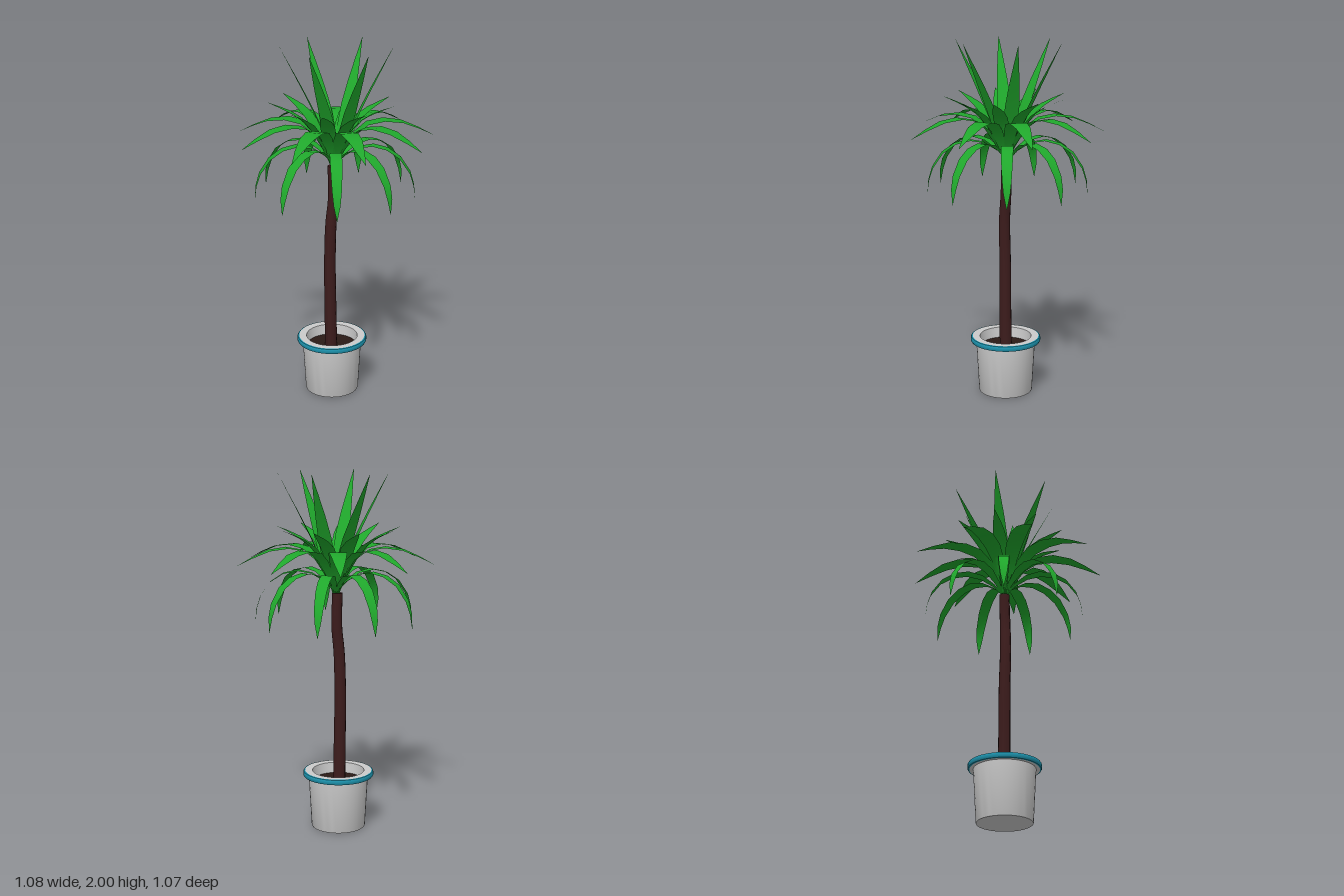
import * as THREE from 'three';
import { toCreasedNormals } from 'three/addons/utils/BufferGeometryUtils.js';

const mat = (color, side = THREE.FrontSide) => new THREE.MeshStandardMaterial({ color, side });
const grey = mat(0xcccccc);
const blue = mat(0x1c90aa);
const bark = mat(0x3c1c1c);
const earth = mat(0x2a1a16);
const green = mat(0x20a82c, THREE.DoubleSide);

function add(parent, name, geometry, material) {
  const mesh = new THREE.Mesh(geometry, material);
  mesh.name = name;
  parent.add(mesh);
  return mesh;
}

function lathe(profile) {
  const points = profile.map(([r, y]) => new THREE.Vector2(r, y));
  return toCreasedNormals(new THREE.LatheGeometry(points, 40), 0.6);
}

// A flat ribbon leaf growing along +x; each row is [reach, height, width]
function leafGeometry(rows) {
  const positions = [];
  const index = [];
  rows.forEach(([r, y, w], i) => {
    positions.push(r, y, -w / 2, r, y, w / 2);
    if (i > 0) {
      const a = 2 * i - 2;
      index.push(a, a + 1, a + 2, a + 1, a + 3, a + 2);
    }
  });
  const geometry = new THREE.BufferGeometry();
  geometry.setAttribute('position', new THREE.Float32BufferAttribute(positions, 3));
  geometry.setIndex(index);
  geometry.computeVertexNormals();
  return geometry;
}

// Leaf whorls, from the drooping bottom one to the upright crown
const whorls = [
  {
    name: 'droopingLeaf', count: 9, start: 20.5, x: -0.015, z: -0.015,
    rows: [[0, 1.34, 0.015], [0.06, 1.405, 0.035], [0.13, 1.45, 0.055], [0.21, 1.465, 0.065],
      [0.29, 1.447, 0.065], [0.36, 1.4, 0.06], [0.415, 1.32, 0.05], [0.437, 1.25, 0.035], [0.445, 1.17, 0.002]],
  },
  {
    name: 'archingLeaf', count: 9, start: 5.5, x: -0.01, z: -0.005,
    rows: [[0, 1.34, 0.015], [0.05, 1.43, 0.045], [0.11, 1.525, 0.075], [0.18, 1.578, 0.093],
      [0.27, 1.595, 0.095], [0.37, 1.582, 0.078], [0.46, 1.545, 0.045], [0.548, 1.5, 0.001]],
  },
  {
    name: 'spreadingLeaf', count: 9, start: 30, x: -0.025, z: 0,
    rows: [[0, 1.34, 0.015], [0.045, 1.44, 0.05], [0.1, 1.535, 0.077], [0.16, 1.605, 0.08],
      [0.22, 1.645, 0.064], [0.28, 1.673, 0.037], [0.345, 1.7, 0.001]],
  },
  {
    name: 'uprightLeaf', count: 6, start: 30, x: -0.005, z: -0.02,
    rows: [[0, 1.34, 0.015], [0.04, 1.45, 0.05], [0.085, 1.56, 0.077], [0.13, 1.66, 0.078],
      [0.19, 1.78, 0.058], [0.245, 1.885, 0.032], [0.305, 2, 0.001]],
  },
];

// Round trunk with a gentle bend and taper; each row is [x, y, z, radius]
function trunkGeometry(rows, sides = 12, steps = 24) {
  const curve = new THREE.CatmullRomCurve3(rows.map(([x, y, z]) => new THREE.Vector3(x, y, z)));
  const yBottom = rows[0][1];
  const height = rows[rows.length - 1][1] - yBottom;
  const geometry = new THREE.CylinderGeometry(1, 1, 1, sides, steps);
  const p = geometry.attributes.position;
  for (let i = 0; i < p.count; i++) {
    const t = p.getY(i) + 0.5;
    const c = curve.getPoint(t);
    const radius = 0.029 + 0.006 * (1 - t);
    p.setXYZ(i, c.x + p.getX(i) * radius, yBottom + (c.y - yBottom) / height * height, c.z + p.getZ(i) * radius);
  }
  geometry.computeVertexNormals();
  return geometry;
}

export function createModel() {
  const model = new THREE.Group();
  model.name = 'pottedPalm';

  // Pot with a thick, overhanging lip
  const pot = new THREE.Group();
  pot.name = 'pot';
  pot.position.x = -0.025;
  model.add(pot);
  add(pot, 'potBody', lathe([
    [0, 0], [0.15, 0], [0.152, 0.005], [0.168, 0.295], [0.19, 0.295], [0.19, 0.325],
    [0.146, 0.325], [0.14, 0.25], [0, 0.25],
  ]), grey);
  add(pot, 'rimBand', lathe([
    [0.188, 0.294], [0.195, 0.296], [0.199, 0.303], [0.199, 0.317], [0.195, 0.324], [0.188, 0.326],
  ]), blue);
  const soil = add(pot, 'soil', new THREE.CircleGeometry(0.141, 40), earth);
  soil.rotation.x = -Math.PI / 2;
  soil.position.y = 0.265;

  // Trunk
  add(model, 'trunk', trunkGeometry([
    [-0.03, 0.24, 0], [-0.032, 0.5, 0.004], [-0.034, 0.77, 0.006],
    [-0.027, 1.0, 0.007], [-0.017, 1.16, -0.005], [-0.022, 1.34, -0.007],
  ]), bark);

  // Crown of leaves
  const crown = new THREE.Group();
  crown.name = 'crown';
  model.add(crown);
  for (const { name, count, start, x, z, rows } of whorls) {
    const geometry = leafGeometry(rows);
    for (let i = 0; i < count; i++) {
      const leaf = add(crown, name, geometry, green);
      leaf.position.set(x, 0, z);
      leaf.rotation.y = -THREE.MathUtils.degToRad(start + i * 360 / count);
    }
  }
  return model;
}
